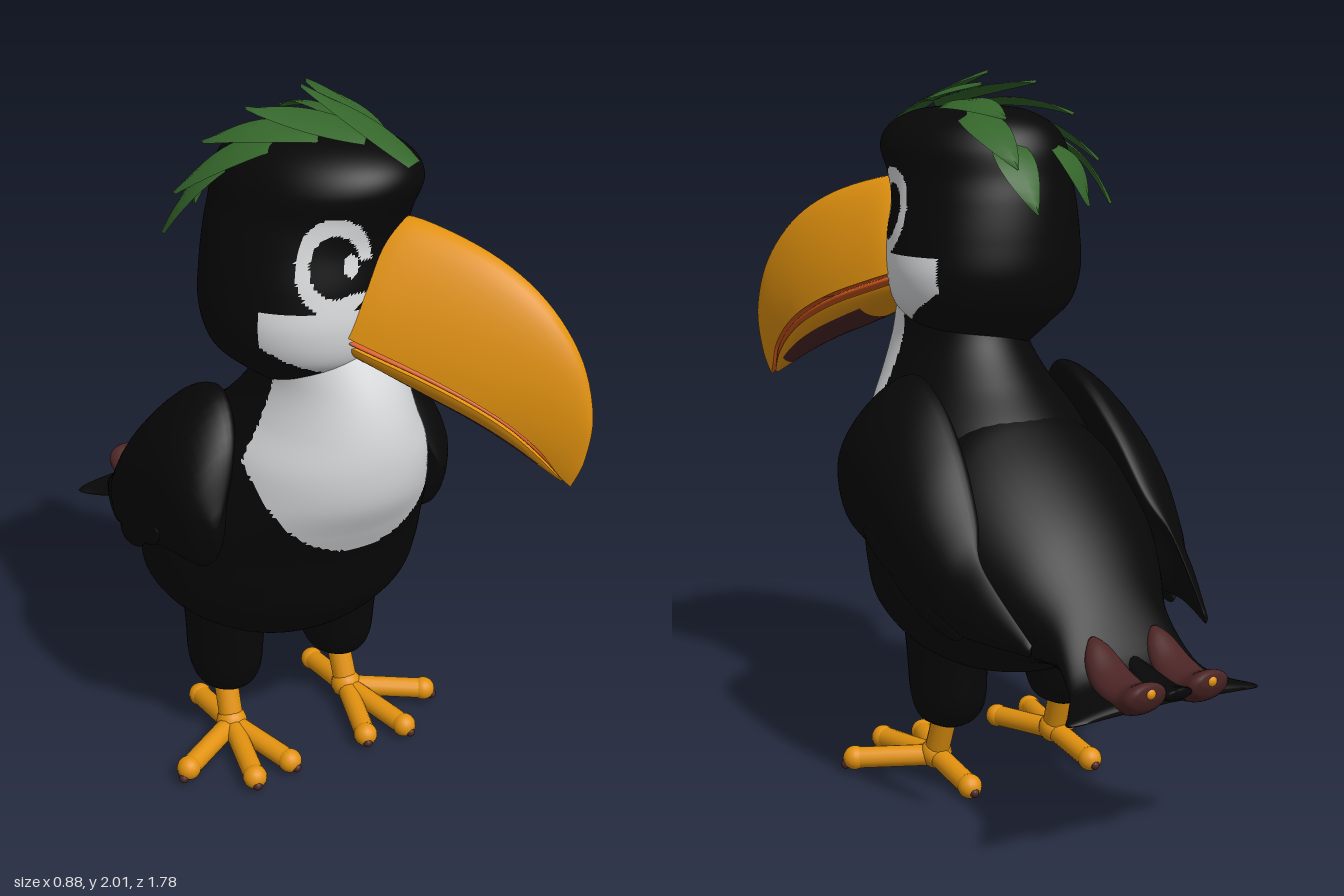
import * as THREE from 'three';
import { toCreasedNormals } from 'three/addons/utils/BufferGeometryUtils.js';

const mat = (name, color) => Object.assign(new THREE.MeshStandardMaterial({ color }), { name });
const V = (x, y, z) => new THREE.Vector3(x, y, z);

// Smoothly resample a table of cross-sections to n rows
function resample(rows, n) {
  const cols = rows[0].map((_, c) => new THREE.SplineCurve(rows.map((r, i) => new THREE.Vector2(i, r[c]))));
  return Array.from({ length: n }, (_, i) => cols.map((c) => c.getPoint(i / (n - 1)).y));
}

// Skin closed rings; point(row, cos, sin) places each vertex. rule(centroid, angle, t) picks a material group
function loft(rows, n, seg, point, rule) {
  const rings = resample(rows, n), pos = [], tris = [];
  const get = (i) => V(pos[i * 3], pos[i * 3 + 1], pos[i * 3 + 2]);
  for (const r of rings) for (let j = 0; j < seg; j++) {
    const a = (j / seg) * Math.PI * 2;
    pos.push(...point(r, Math.cos(a), Math.sin(a)));
  }
  const ends = [0, n - 1].map((i) => {
    const c = V(0, 0, 0);
    for (let j = 0; j < seg; j++) c.addScaledVector(get(i * seg + j), 1 / seg);
    pos.push(c.x, c.y, c.z);
    return pos.length / 3 - 1;
  });
  for (let j = 0; j < seg; j++) {
    const k = (j + 1) % seg, e = (n - 1) * seg, a = ((j + 0.5) / seg) * Math.PI * 2;
    for (let i = 0; i < n - 1; i++) {
      const p = i * seg, q = p + seg, t = (i + 0.5) / (n - 1);
      tris.push([p + j, p + k, q + j, a, t], [p + k, q + k, q + j, a, t]);
    }
    tris.push([ends[0], k, j, a, 0], [ends[1], e + j, e + k, a, 1]);
  }
  let volume = 0;
  for (const t of tris) volume += get(t[0]).dot(get(t[1]).cross(get(t[2])));
  const groups = [];
  for (const [a, b, c, ang, t] of tris) {
    const g = rule ? rule(get(a).add(get(b)).add(get(c)).divideScalar(3), ang, t) : 0;
    (groups[g] ??= []).push(...(volume < 0 ? [a, c, b] : [a, b, c]));
  }
  const geo = new THREE.BufferGeometry();
  geo.setAttribute('position', new THREE.Float32BufferAttribute(pos, 3));
  geo.setIndex(groups.flat());
  let start = 0;
  if (rule) groups.forEach((g, i) => { geo.addGroup(start, g.length, i); start += g.length; });
  geo.computeVertexNormals();
  return geo;
}

// Ring placers: rows along y are [y, zFront, zBack, rx]; rows along z are [z, yTop, yBottom, rx, arch of the section]
const alongY = (x0 = 0) => ([y, f, b, rx], c, s) => [x0 + rx * c, y, (f + b) / 2 + ((f - b) / 2) * s];
const alongZ = (x0 = 0) => ([z, t, b, rx, arch = 0], c, s) => [
  x0 + rx * c, (t + b) / 2 + ((t - b) / 2) * s + arch * ((s < 0 ? s * s : 0) - 0.6 * c * c), z,
];

// Lens-shaped leaf blade curving from root to tip
function leaf(root, mid, tip, w) {
  const curve = new THREE.QuadraticBezierCurve3(root, mid, tip), n = 10, pos = [], idx = [];
  for (let i = 0; i <= n; i++) {
    const t = i / n, p = curve.getPoint(t);
    const out = p.clone().sub(V(0, 1.55, 0)).normalize();
    const side = curve.getTangent(t).cross(out).normalize();
    const h = w * Math.pow(Math.sin(Math.PI * (0.2 + 0.8 * t)), 0.85) + 0.001;
    for (const k of [-1, 0, 1]) {
      const q = p.clone().addScaledVector(side, k * h).addScaledVector(out, k ? 0 : 0.01);
      pos.push(q.x, q.y, q.z);
    }
    if (i < n) for (const k of [0, 1]) {
      const a = i * 3 + k;
      idx.push(a, a + 1, a + 3, a + 1, a + 4, a + 3);
    }
  }
  const geo = new THREE.BufferGeometry();
  geo.setAttribute('position', new THREE.Float32BufferAttribute(pos, 3));
  geo.setIndex(idx);
  geo.computeVertexNormals();
  return geo;
}

export function createModel() {
  const black = mat('black plumage', 0x070707), white = mat('white plumage', 0xdcdddf);
  const orange = mat('orange', 0xe2920f), green = mat('green crest', 0x34652a);
  const maroon = mat('maroon', 0x4c2525), red = mat('mouth red', 0xd2581c);
  green.side = THREE.DoubleSide;
  const model = new THREE.Group();
  const add = (parent, name, geo, m) => {
    const mesh = new THREE.Mesh(geo, m);
    mesh.name = name;
    parent.add(mesh);
    return mesh;
  };
  const ball = (parent, name, r, p, m) => add(parent, name, new THREE.SphereGeometry(r, 16, 12), m).position.copy(p);
  // Rounded rod between two points
  const rod = (parent, name, a, b, r, m) => {
    const d = b.clone().sub(a);
    const mesh = add(parent, name, new THREE.CapsuleGeometry(r, d.length(), 6, 14), m);
    mesh.position.copy(a).add(b).multiplyScalar(0.5);
    mesh.quaternion.setFromUnitVectors(V(0, 1, 0), d.normalize());
  };

  // Chest and neck with white bib
  const bib = (p) => {
    if (p.y > 1.05) return p.z > 0.27 ? 1 : 0;
    return p.z > 0.2 && Math.hypot(p.x / 0.275, (p.y - 1.05) / 0.262) < 1 ? 1 : 0;
  };
  add(model, 'chest', loft([
    [1.45, 0.42, 0.08, 0.16], [1.35, 0.47, 0.06, 0.175], [1.25, 0.51, 0.02, 0.185], [1.15, 0.53, -0.06, 0.225],
    [1.05, 0.53, -0.16, 0.283], [0.95, 0.51, -0.24, 0.32], [0.85, 0.46, -0.3, 0.36], [0.75, 0.41, -0.36, 0.39],
    [0.65, 0.38, -0.41, 0.4], [0.55, 0.34, -0.42, 0.385], [0.45, 0.25, -0.36, 0.31], [0.38, 0.14, -0.26, 0.2],
    [0.345, 0, -0.12, 0.06],
  ], 110, 170, alongY(), bib), [black, white]);

  // Back tapering into a flared tail
  add(model, 'backAndTail', loft([
    [0.04, 1.14, 0.37, 0.27, 0], [-0.1, 1.09, 0.37, 0.34, 0], [-0.2, 1.03, 0.39, 0.345, 0], [-0.32, 0.94, 0.42, 0.305, 0],
    [-0.44, 0.83, 0.45, 0.245, 0], [-0.56, 0.69, 0.45, 0.188, 0], [-0.68, 0.54, 0.45, 0.2, 0.01],
    [-0.76, 0.51, 0.45, 0.25, 0.03], [-0.82, 0.5, 0.455, 0.29, 0.03], [-0.84, 0.485, 0.465, 0.24, 0.015],
  ], 50, 48, alongZ()), black);
  add(model, 'tailMiddle', loft([
    [-0.66, 0.55, 0.47, 0.03], [-0.8, 0.515, 0.475, 0.05], [-0.87, 0.525, 0.49, 0.045], [-0.89, 0.53, 0.51, 0.02],
  ], 14, 16, alongZ()), black);

  for (const s of [1, -1]) {
    const side = s > 0 ? 'left' : 'right';
    // Upturned tail markings, seen from above and below
    add(model, side + 'TailMarking', loft([
      [-0.625, 0.6, 0.57, 0.015], [-0.66, 0.59, 0.5, 0.045], [-0.73, 0.55, 0.46, 0.06], [-0.81, 0.533, 0.452, 0.062],
      [-0.87, 0.555, 0.475, 0.06], [-0.892, 0.55, 0.515, 0.035],
    ], 24, 24, alongZ(s * 0.094)), maroon);
    ball(model, side + 'TailSpot', 0.018, V(s * 0.092, 0.53, -0.88), orange);

    // Folded wing, leaning in at the shoulder, ending in a slim feather
    const wing = new THREE.Group();
    wing.name = side + 'Wing';
    model.add(wing);
    add(wing, 'wingBody', loft([
      [0.28, 0.9, 0.84, 0.36, 0.012], [0.22, 1.08, 0.73, 0.355, 0.065], [0.1, 1.18, 0.69, 0.35, 0.087],
      [-0.05, 1.14, 0.64, 0.35, 0.088], [-0.2, 1.02, 0.6, 0.345, 0.082], [-0.32, 0.87, 0.58, 0.335, 0.06],
      [-0.39, 0.78, 0.57, 0.342, 0.022], [-0.47, 0.71, 0.57, 0.322, 0.016], [-0.61, 0.6, 0.57, 0.272, 0.007],
    ], 44, 36, ([z, t, b, x, h], c, sn) => [
      s * (x + h * c - 0.21 * (t - b) * Math.max(0, sn) ** 2), (t + b) / 2 + ((t - b) / 2) * sn, z,
    ]), black);
    [[0.7, -0.1, 0.385], [0.63, -0.22, 0.37]].forEach(([y, z, x]) => {
      const f = add(wing, 'wingFeather', new THREE.SphereGeometry(1, 20, 14), black);
      f.scale.set(0.025, 0.05, 0.17);
      f.position.set(s * x, y, z);
      f.rotation.set(-0.45, s * 0.2, 0);
    });

    // Thigh, shank and toes
    const leg = new THREE.Group();
    leg.name = side + 'Leg';
    model.add(leg);
    add(leg, 'thigh', loft([
      [0.62, 0.16, -0.17, 0.13], [0.48, 0.15, -0.16, 0.115], [0.36, 0.14, -0.15, 0.105], [0.26, 0.125, -0.14, 0.1],
      [0.2, 0.09, -0.1, 0.08], [0.172, 0.04, -0.05, 0.035],
    ], 26, 32, alongY(s * 0.19)), black);
    const ankle = V(s * 0.2, 0.062, 0.05);
    rod(leg, 'shank', V(s * 0.195, 0.2, 0), ankle, 0.036, orange);
    ball(leg, 'ankle', 0.046, ankle, orange);
    [[0.405, 0.044, 0.17], [0.255, 0.036, 0.292], [0.13, 0.036, 0.275], [0.2, 0.034, -0.155]].forEach(([x, y, z]) => {
      const tip = V(s * x, y, z), out = tip.clone().sub(ankle).setY(0).normalize();
      rod(leg, 'toe', ankle.clone().setY(0.055), tip, 0.031, orange);
      ball(leg, 'toeTip', 0.035, tip, orange);
      ball(leg, 'claw', 0.014, tip.clone().addScaledVector(out, 0.027).setY(0.024), maroon);
    });
  }

  // Head group, turned toward the model's left
  const head = new THREE.Group();
  head.name = 'head';
  head.position.set(-0.04, 0, 0.2);
  head.rotation.y = 0.53;
  model.add(head);

  // White cheeks, open eye rings and eye highlights
  const face = (p) => {
    const u = (Math.atan2(Math.abs(p.x), p.z) - 0.79) * 0.27, v = p.y - 1.62;
    const r = Math.hypot(u / 0.105, v / 0.124), gap = u < -0.04 && v > -0.07 && v < 0.01;
    if ((r > 0.64 && r < 1 && !gap) || Math.hypot((u + 0.042) / 0.022, v / 0.03) < 1) return 1;
    return p.y < 1.505 && p.z > (p.x > 0 ? -0.03 : 0.025) + Math.max(0, 1.41 - p.y) * 1.6 ? 1 : 0;
  };
  add(head, 'skull', loft([
    [1.24, 0.14, -0.14, 0.12], [1.3, 0.2, -0.2, 0.205], [1.36, 0.25, -0.255, 0.268], [1.45, 0.27, -0.28, 0.293],
    [1.55, 0.27, -0.28, 0.282], [1.65, 0.262, -0.272, 0.258], [1.72, 0.28, -0.262, 0.238], [1.8, 0.31, -0.25, 0.225],
    [1.86, 0.28, -0.21, 0.185], [1.9, 0.19, -0.13, 0.115], [1.912, 0.05, -0.04, 0.03],
  ], 130, 180, alongY(), face), [black, white]);

  // Beak rows: [zTop, yTop, zBottom, yBottom, halfWidth]; keep = 1 rounds the top, -1 the bottom
  const beakPoint = (keep) => ([tz, ty, bz, by, w], c, s) => {
    const k = keep > 0 ? Math.max(0, s) : 1 + Math.min(0, s);
    const taper = keep > 0 ? 1 - 0.36 * k : 1;
    return [w * c * taper, by + (ty - by) * k, bz + (tz - bz) * k];
  };
  const upper = [
    [0.2, 1.69, 0.16, 1.45, 0.192], [0.3, 1.705, 0.24, 1.425, 0.19], [0.5, 1.65, 0.4, 1.37, 0.164],
    [0.65, 1.56, 0.53, 1.31, 0.132], [0.755, 1.43, 0.62, 1.25, 0.097], [0.8, 1.28, 0.69, 1.18, 0.06],
    [0.788, 1.15, 0.73, 1.11, 0.027], [0.757, 1.07, 0.757, 1.07, 0.002],
  ];
  const lower = [
    [0.16, 1.42, 0.17, 1.35, 0.18], [0.24, 1.393, 0.25, 1.32, 0.175], [0.4, 1.338, 0.38, 1.26, 0.146],
    [0.53, 1.278, 0.5, 1.21, 0.112], [0.62, 1.219, 0.6, 1.16, 0.08], [0.69, 1.15, 0.675, 1.115, 0.046],
    [0.735, 1.085, 0.73, 1.08, 0.008],
  ];
  const filler = lower.map((l, i) => [upper[i][2], upper[i][3] + 0.004, l[0], l[1] - 0.004, l[4] * 1.06]);
  const palate = (p, a) => (a > Math.PI ? 1 : 0);
  const chin = (p, a, t) => (Math.abs(a - Math.PI * 1.5) < 1.05 && t > 0.26 && t < 0.84 ? 1 : 0);
  const beak = new THREE.Group();
  beak.name = 'beak';
  beak.position.x = 0.02;
  head.add(beak);
  add(beak, 'upperBeak', toCreasedNormals(loft(upper, 40, 48, beakPoint(1), palate), 0.9), [orange, red]);
  add(beak, 'lowerBeak', toCreasedNormals(loft(lower, 36, 48, beakPoint(-1), chin), 0.9), [orange, maroon]);
  add(beak, 'mouth', loft(filler, 30, 32, ([tz, ty, bz, by, w], c, s) => [
    w * c, (ty + by) / 2 + ((ty - by) / 2) * s, (tz + bz) / 2 + ((tz - bz) / 2) * s,
  ]), red);

  // Leafy crest: a centre line plus mirrored branches down the back of the head
  const crest = new THREE.Group();
  crest.name = 'crest';
  head.add(crest);
  add(crest, 'crestLeaf', leaf(V(0, 1.85, 0.3), V(0, 1.94, 0.17), V(0, 2.0, -0.02), 0.05), green);
  add(crest, 'crestLeaf', leaf(V(0, 1.8, -0.24), V(0, 1.76, -0.31), V(0, 1.64, -0.34), 0.055), green);
  for (const s of [1, -1]) {
    [
      [[0.03, 1.91, 0.18], [0.1, 1.96, 0.05], [0.15, 1.97, -0.09]],
      [[0.07, 1.91, 0.07], [0.14, 1.94, -0.06], [0.19, 1.88, -0.19]],
      [[0.11, 1.89, -0.02], [0.18, 1.87, -0.14], [0.23, 1.75, -0.25]],
      [[0.13, 1.82, -0.15], [0.2, 1.78, -0.23], [0.21, 1.63, -0.3]],
    ].forEach((pts) => add(crest, 'crestLeaf', leaf(...pts.map(([x, y, z]) => V(s * x, y, z)), 0.056), green));
  }
  return model;
}
